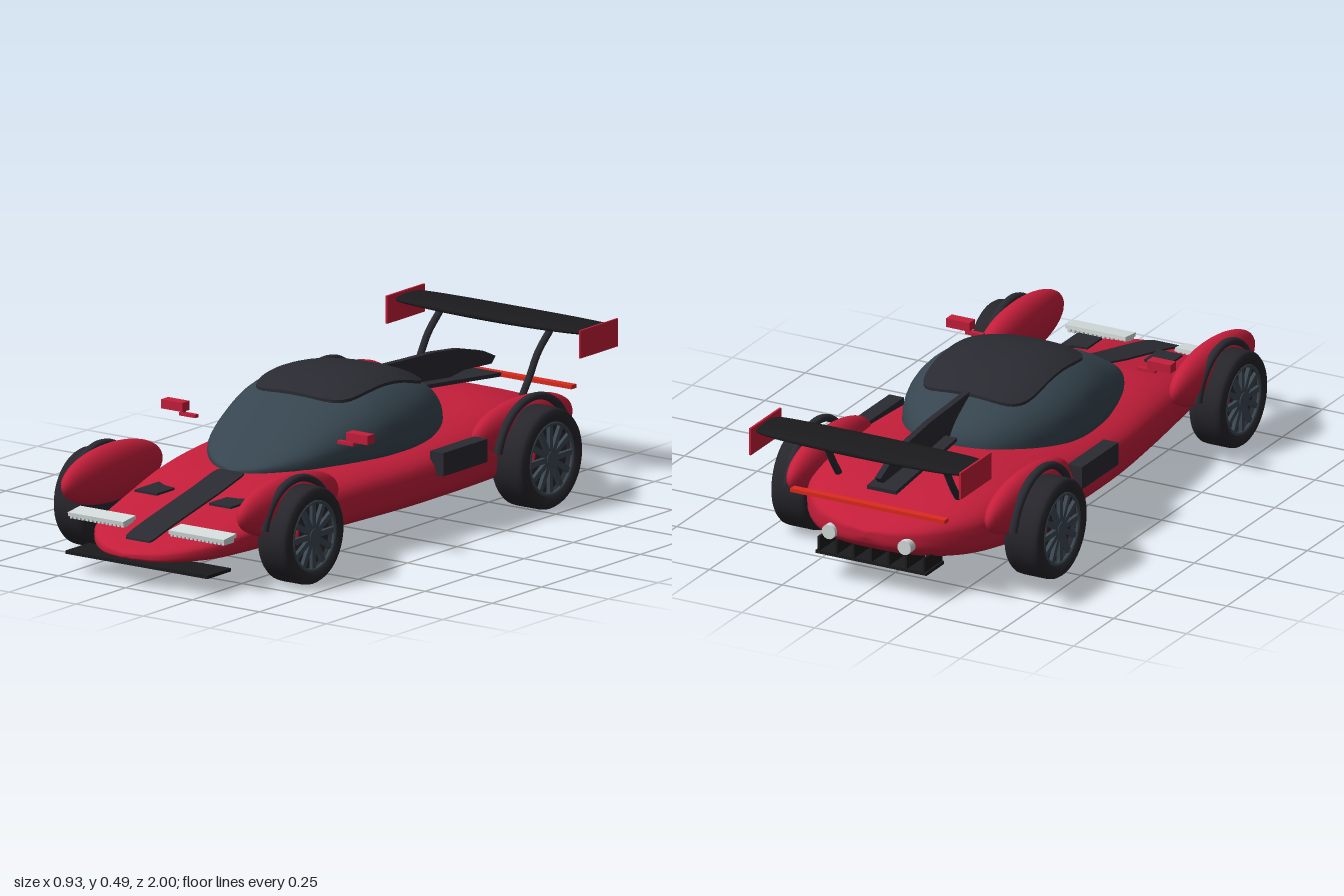
import * as THREE from 'three';
import { toCreasedNormals } from 'three/addons/utils/BufferGeometryUtils.js';

const paint = (name, color) => Object.assign(new THREE.MeshStandardMaterial({ color }), { name });

// Loft stations: [z, half width, bottom y, widest y, top y], running front to back
const BODY = [
  [1.0, 0.02, 0.092, 0.1, 0.107], [0.97, 0.11, 0.083, 0.1, 0.122], [0.9, 0.19, 0.077, 0.11, 0.145],
  [0.8, 0.245, 0.073, 0.12, 0.17], [0.6, 0.285, 0.07, 0.14, 0.215], [0.45, 0.31, 0.07, 0.15, 0.25],
  [0.25, 0.34, 0.07, 0.16, 0.268], [0, 0.365, 0.07, 0.165, 0.275], [-0.3, 0.368, 0.07, 0.17, 0.295],
  [-0.55, 0.36, 0.075, 0.175, 0.31], [-0.7, 0.325, 0.085, 0.18, 0.292], [-0.8, 0.27, 0.1, 0.185, 0.265],
  [-0.88, 0.19, 0.125, 0.19, 0.235], [-0.92, 0.1, 0.15, 0.19, 0.212], [-0.935, 0.01, 0.18, 0.19, 0.2],
];
const CANOPY = [
  [0.46, 0.01, 0.24, 0.25, 0.256], [0.43, 0.09, 0.23, 0.26, 0.278], [0.35, 0.175, 0.22, 0.27, 0.327],
  [0.25, 0.228, 0.22, 0.275, 0.382], [0.1, 0.276, 0.22, 0.28, 0.445], [0, 0.29, 0.22, 0.28, 0.467],
  [-0.1, 0.29, 0.22, 0.28, 0.468], [-0.2, 0.27, 0.22, 0.28, 0.452], [-0.3, 0.225, 0.22, 0.28, 0.42],
  [-0.38, 0.16, 0.22, 0.28, 0.375], [-0.42, 0.1, 0.23, 0.28, 0.34], [-0.44, 0.01, 0.26, 0.28, 0.3],
];
const WING = [
  [0.36, 0.055, 0.458, 0.468, 0.476], [0.33, 0.072, 0.456, 0.467, 0.478], [0.2, 0.08, 0.45, 0.465, 0.48],
  [0, 0.082, 0.446, 0.465, 0.48], [-0.2, 0.08, 0.45, 0.465, 0.48], [-0.33, 0.072, 0.456, 0.467, 0.478],
  [-0.36, 0.055, 0.458, 0.468, 0.476],
];

// Smoothly blended station at t = 0..1
function sampler(stations) {
  const a = new THREE.CatmullRomCurve3(stations.map(s => new THREE.Vector3(s[0], s[1], 0)), false, 'catmullrom');
  const b = new THREE.CatmullRomCurve3(stations.map(s => new THREE.Vector3(s[2], s[3], s[4])), false, 'catmullrom');
  return t => {
    const p = a.getPoint(t), q = b.getPoint(t);
    return [p.x, p.y, q.x, q.y, q.z];
  };
}

function meshData(pos, idx) {
  const g = new THREE.BufferGeometry();
  g.setAttribute('position', new THREE.Float32BufferAttribute(pos, 3));
  g.setIndex(idx);
  g.computeVertexNormals();
  return g;
}

// Closed superellipse hull through the stations
function loft(stations, power, rows = 56, cols = 48) {
  const at = sampler(stations), pos = [], idx = [];
  for (let i = 0; i <= rows; i++) {
    const [z, w, yb, ym, yt] = at(i / rows);
    for (let j = 0; j < cols; j++) {
      const a = (j / cols) * Math.PI * 2, c = Math.cos(a), s = Math.sin(a);
      const e = v => Math.sign(v) * Math.abs(v) ** (2 / power);
      pos.push(w * e(c), ym + e(s) * (s > 0 ? yt - ym : ym - yb), z);
      const k = (j + 1) % cols, A = i * cols + j, B = i * cols + k;
      if (i < rows) idx.push(A, A + cols, B, B, A + cols, B + cols);
    }
  }
  for (const end of [0, 1]) {
    const [z, , , ym] = at(end), n = pos.length / 3, o = end * rows * cols;
    pos.push(0, ym, z);
    for (let j = 0; j < cols; j++) {
      const k = (j + 1) % cols;
      idx.push(n, o + (end ? k : j), o + (end ? j : k));
    }
  }
  return meshData(pos, idx);
}

// Raised panel with rounded corners that follows the top of a hull
function panel(stations, power, cz, hw, hl, corner, lift, rows = 28, cols = 18) {
  const at = sampler(stations), pos = [], idx = [];
  const topAt = (x, z) => {
    let lo = 0, hi = 1;
    for (let k = 0; k < 24; k++) at((lo + hi) / 2)[0] > z ? lo = (lo + hi) / 2 : hi = (lo + hi) / 2;
    const [, w, , ym, yt] = at(lo);
    return ym + (yt - ym) * Math.max(0, 1 - (Math.abs(x) / w) ** power) ** (1 / power);
  };
  for (let i = 0; i <= rows; i++) for (let j = 0; j <= cols; j++) {
    const v = Math.sin((i / rows - 0.5) * Math.PI);
    const u = THREE.MathUtils.clamp((j - 1) / (cols - 2) * 2 - 1, -1, 1);
    const x = hw * u * Math.max(0, 1 - Math.abs(v) ** corner) ** (1 / corner), z = cz + hl * v;
    const rim = i === 0 || i === rows || j === 0 || j === cols;
    pos.push(x, topAt(x, z) + (rim ? -0.006 : lift), z);
    const A = i * (cols + 1) + j, B = A + cols + 1;
    if (i < rows && j < cols) idx.push(A, B, A + 1, A + 1, B, B + 1);
  }
  return toCreasedNormals(meshData(pos, idx), 0.7);
}

export function createModel() {
  const model = new THREE.Group();
  model.name = 'raceCar';
  const red = paint('crimson', 0xc41e3a), carbon = paint('carbon', 0x2a2a32), black = paint('black', 0x1b1b1d);
  const glass = paint('tintedGlass', 0x36454f), rubber = paint('rubber', 0x26262c), alloy = paint('darkAlloy', 0x3b4750);
  const lamp = paint('lampWhite', 0xd5dddd), tail = paint('tailRed', 0xdd2a1e);

  const add = (name, geo, mat, x = 0, y = 0, z = 0, parent = model) => {
    const m = new THREE.Mesh(geo, mat);
    m.name = name;
    m.position.set(x, y, z);
    parent.add(m);
    return m;
  };
  const box = (name, mat, w, h, d, x, y, z, parent) => add(name, new THREE.BoxGeometry(w, h, d), mat, x, y, z, parent);
  const profile = (pts, width) => { // side outline given as (-z, y)
    const s = new THREE.Shape(pts.map(p => new THREE.Vector2(...p)));
    return new THREE.ExtrudeGeometry(s, { depth: width, bevelEnabled: false }).translate(0, 0, -width / 2).rotateY(Math.PI / 2);
  };

  // Hull, cabin and centre line
  add('body', loft(BODY, 3.2, 70), red);
  add('canopy', loft(CANOPY, 2.5), glass);
  add('roofPanel', panel(CANOPY, 2.5, -0.08, 0.19, 0.23, 4.5, 0.009), carbon);
  add('hoodStripe', panel(BODY, 3.2, 0.7, 0.052, 0.24, 14, 0.006), carbon);
  box('deckStripe', carbon, 0.1, 0.012, 0.38, 0, 0.317, -0.645).rotation.x = -0.1;
  add('dorsalFin', profile([[0.28, 0.43], [0.4, 0.424], [0.55, 0.418], [0.68, 0.403], [0.8, 0.372], [0.86, 0.345],
    [0.84, 0.325], [0.7, 0.333], [0.55, 0.315], [0.38, 0.32]], 0.02), carbon);

  // Nose splitter, rear diffuser, tail light
  box('splitter', black, 0.53, 0.01, 0.12, 0, 0.06, 0.885);
  box('diffuser', black, 0.38, 0.01, 0.11, 0, 0.085, -0.845);
  for (let i = -3; i <= 3; i++) box('diffuserFin', black, 0.008, 0.05, 0.11, i * 0.06, 0.11, -0.845);
  box('tailLight', tail, 0.53, 0.012, 0.025, 0, 0.277, -0.91);

  // Rear wing
  add('wing', toCreasedNormals(loft(WING, 2.3, 30, 32).rotateY(Math.PI / 2), 0.8), black, 0, 0, -0.91);

  const tyreProfile = (R, h) => [[0.7, -0.9], [0.86, -1], [0.95, -0.95], [0.99, -0.8], [1, -0.55], [1, 0.55],
    [0.99, 0.8], [0.95, 0.95], [0.86, 1], [0.74, 0.93], [0.7, 0.7], [0.7, -0.9]].map(p => new THREE.Vector2(p[0] * R, p[1] * h));

  function wheel(name, side, R, width, x, z) {
    const g = new THREE.Group(), h = width / 2;
    g.name = name;
    g.position.set(side * x, R, z);
    g.rotation.y = side > 0 ? 0 : Math.PI; // local +x faces outward
    add('tyre', new THREE.LatheGeometry(tyreProfile(R, h), 48).rotateZ(-Math.PI / 2), rubber, 0, 0, 0, g);
    const disc = (n, mat, r, d, px) =>
      add(n, new THREE.CylinderGeometry(r, r, d, 36).rotateZ(Math.PI / 2), mat, px, 0, 0, g);
    disc('rimBack', carbon, R * 0.71, h * 1.35, -h * 0.2);
    disc('hub', alloy, R * 0.15, 0.024, h * 0.72);
    add('rimRing', new THREE.TorusGeometry(R * 0.7, 0.006, 8, 40).rotateY(Math.PI / 2), alloy, h * 0.85, 0, 0, g);
    for (let i = 0; i < 12; i++) {
      const a = (i / 12) * Math.PI * 2;
      const spoke = box('spoke', alloy, 0.012, R * 0.6, 0.017, h * 0.78, Math.cos(a) * R * 0.4, Math.sin(a) * R * 0.4, g);
      spoke.rotation.x = a;
    }
    for (const a of [0, 2.6]) add('caliper', new THREE.TorusGeometry(R * 0.42, 0.008, 6, 10, 0.8)
      .rotateZ(a).rotateY(Math.PI / 2), red, h * 0.5, 0, 0, g);
    model.add(g);
  }

  for (const s of [1, -1]) {
    const side = s > 0 ? 'left' : 'right';
    wheel(side + 'FrontWheel', s, 0.15, 0.115, 0.381, 0.63);
    wheel(side + 'RearWheel', s, 0.156, 0.125, 0.4, -0.54);

    // Fender pods and dark arch trims
    for (const [end, x, z, y, wx, axle, r, ax] of [['Front', 0.328, 0.625, 0.235, 0.058, 0.15, 0.168, 0.366],
      ['Rear', 0.34, -0.545, 0.243, 0.056, 0.156, 0.183, 0.387]]) {
      add(side + end + 'Fender', new THREE.SphereGeometry(1, 36, 24).scale(wx, 0.09, 0.246), red, s * x, y, z);
      add(side + end + 'Arch', new THREE.TorusGeometry(r, 0.012, 10, 32, 2.7).rotateZ(0.22).rotateY(Math.PI / 2)
        .scale(1.2, 1, 1), carbon, s * ax, axle, end === 'Front' ? 0.63 : -0.54);
    }

    // Side intake and mirror
    box(side + 'Intake', carbon, 0.05, 0.072, 0.225, s * 0.368, 0.222, -0.188);
    box(side + 'Mirror', red, 0.08, 0.028, 0.036, s * 0.345, 0.371, 0.28);
    box(side + 'MirrorArm', red, 0.06, 0.01, 0.016, s * 0.295, 0.347, 0.28);
    box(side + 'MirrorStem', red, 0.012, 0.022, 0.012, s * 0.316, 0.354, 0.28);

    // Hood vent: a flat plate, slightly narrowed toward the centre line
    const vent = new THREE.Shape([[0.097, -0.71], [0.18, -0.71], [0.18, -0.585], [0.14, -0.612], [0.097, -0.62]]
      .map(p => new THREE.Vector2(p[0], p[1])));
    const ventGeo = new THREE.ExtrudeGeometry(vent, { depth: 0.007, bevelEnabled: false }).rotateX(-Math.PI / 2);
    if (s < 0) ventGeo.translate(-0.277, 0, -0.6475).rotateZ(Math.PI).translate(0, 0.007, 0.6475);
    add(side + 'HoodVent', s < 0 ? ventGeo.translate(-0.277, 0, 0) : ventGeo, carbon, 0, 0.212, 0);

    // Headlight bar with a row of small lenses
    box(side + 'HeadlightBar', lamp, 0.207, 0.012, 0.064, s * 0.188, 0.168, 0.865).rotation.x = 0.12;
    for (let i = 0; i < 14; i++)
      box(side + 'Lens', lamp, 0.009, 0.016, 0.05, s * (0.092 + i * 0.0147), 0.159, 0.867);

    // Wing end plate, swan strut and exhaust
    box(side + 'EndPlate', red, 0.007, 0.086, 0.19, s * 0.361, 0.442, -0.905);
    const strut = new THREE.CatmullRomCurve3([[0.27, -0.725], [0.325, -0.765], [0.395, -0.81], [0.455, -0.875]]
      .map(p => new THREE.Vector3(s * 0.205, p[0], p[1])));
    add(side + 'WingStrut', new THREE.TubeGeometry(strut, 16, 0.011, 8), carbon);
    add(side + 'Exhaust', new THREE.CylinderGeometry(0.023, 0.023, 0.06, 20).rotateX(Math.PI / 2), lamp, s * 0.13, 0.17, -0.9);
  }
  return model;
}
